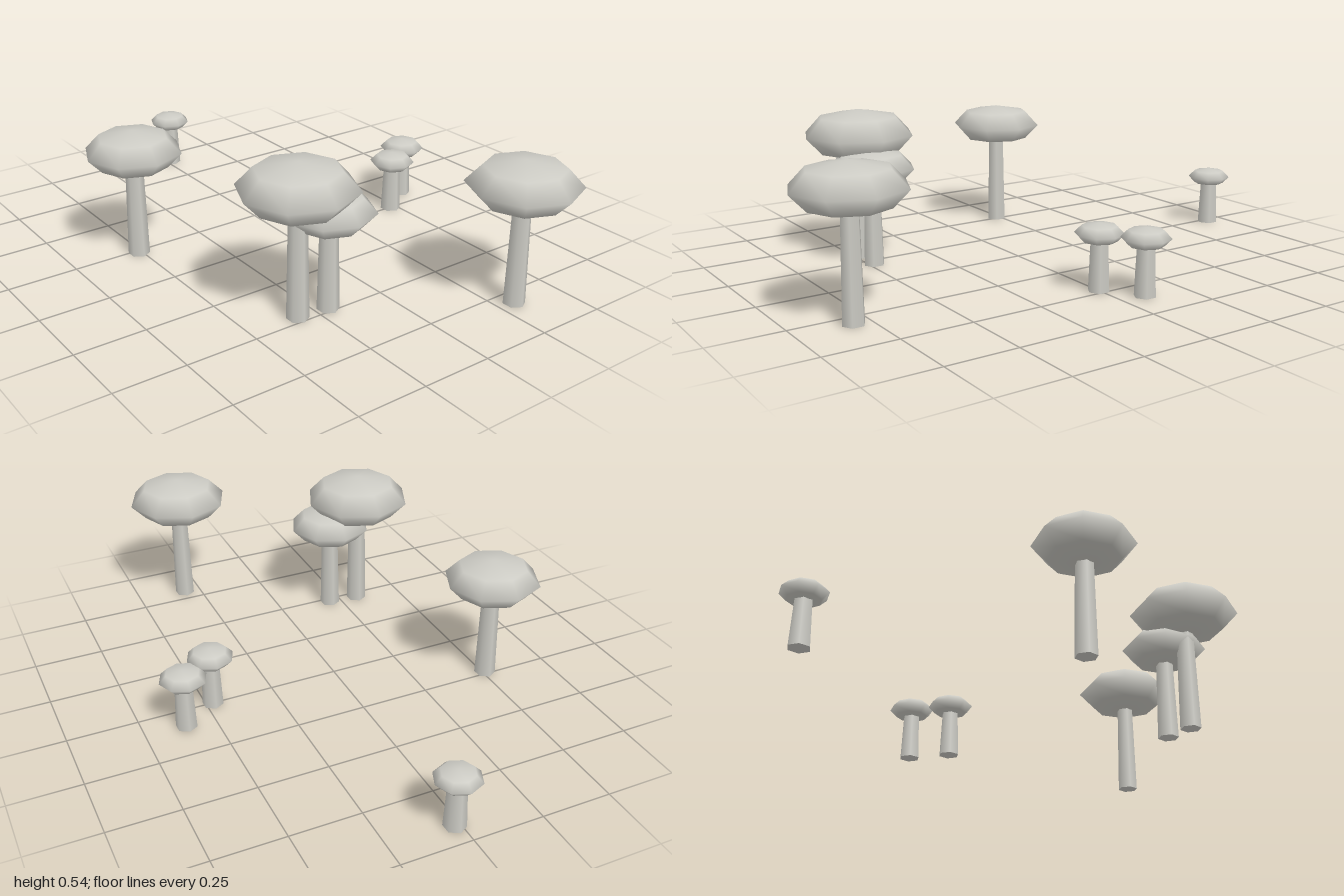
import * as THREE from 'three';

// x, z, cap centre height, cap radius, cap half-height
const MUSHROOMS = [
  [0.47, 0.32, 0.454, 0.2, 0.089],
  [0.48, 0.205, 0.352, 0.155, 0.068],
  [0.81, -0.313, 0.426, 0.19, 0.083],
  [-0.235, 0.51, 0.394, 0.172, 0.076],
  [-0.92, -0.02, 0.187, 0.08, 0.034],
  [-0.09, -0.603, 0.197, 0.084, 0.036],
  [0, -0.475, 0.197, 0.084, 0.036],
];

export function createModel() {
  const model = new THREE.Group();
  model.name = 'mushroomCluster';
  const paleGrey = new THREE.MeshStandardMaterial({ color: 0xcccbc4 });
  paleGrey.name = 'paleGrey';

  // Eight-sided flattened cap, shared by all mushrooms
  const capGeometry = new THREE.SphereGeometry(1, 8, 4);

  MUSHROOMS.forEach(([x, z, y, radius, halfHeight], i) => {
    const mushroom = new THREE.Group();
    mushroom.name = `mushroom${i + 1}`;
    mushroom.position.set(x, 0, z);

    const cap = new THREE.Mesh(capGeometry, paleGrey);
    cap.name = 'cap';
    cap.scale.set(radius, halfHeight, radius);
    cap.position.y = y;

    // Six-sided tapered stem, ending inside the cap
    const stemGeometry = new THREE.CylinderGeometry(0.03, 0.038, y, 6);
    stemGeometry.rotateY(Math.PI / 6);
    const stem = new THREE.Mesh(stemGeometry, paleGrey);
    stem.name = 'stem';
    stem.position.y = y / 2;

    mushroom.add(cap, stem);
    model.add(mushroom);
  });
  return model;
}
